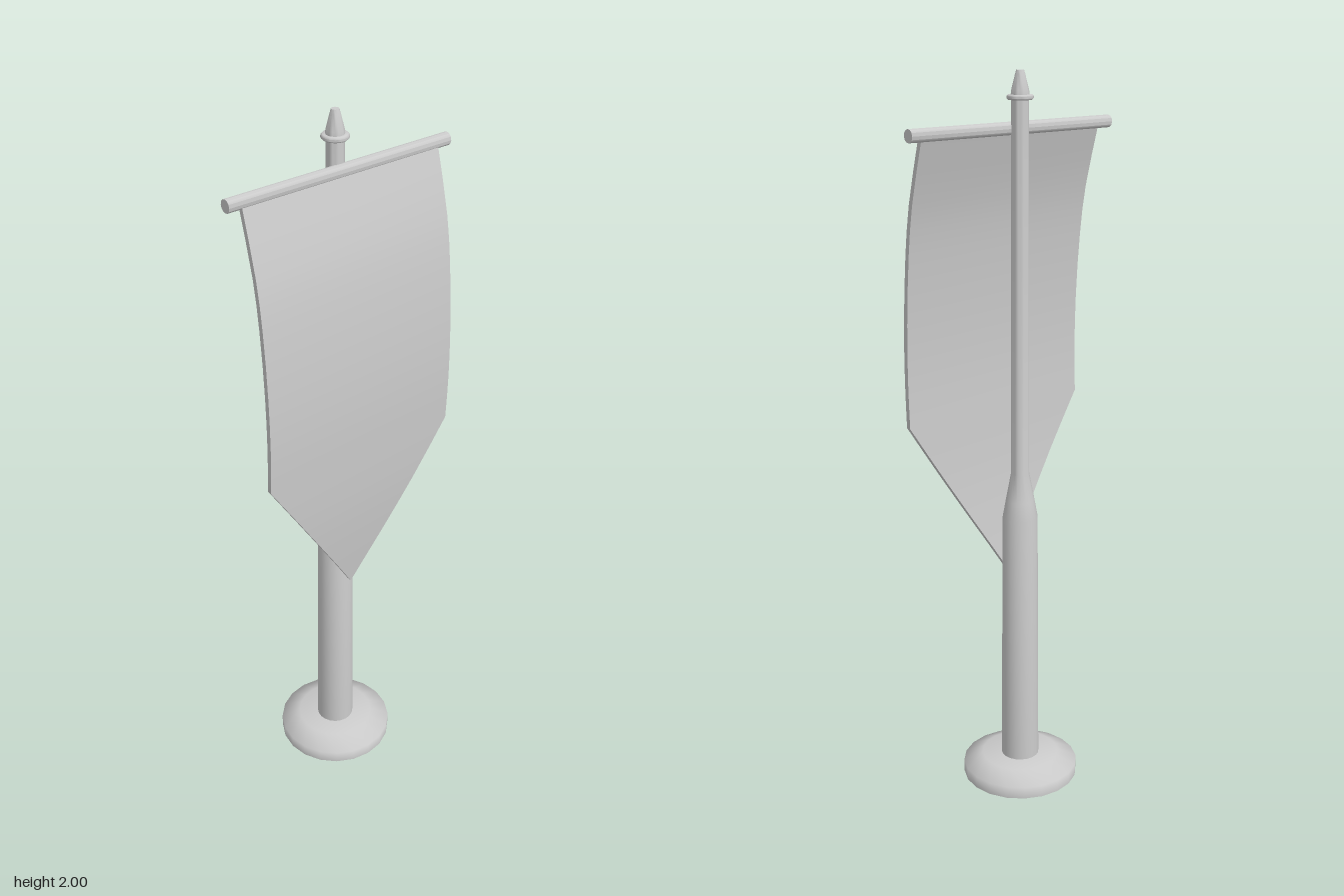
import * as THREE from 'three';
import { toCreasedNormals } from 'three/addons/utils/BufferGeometryUtils.js';

const SIDES = 20;

export function createModel() {
  const group = new THREE.Group();
  group.name = 'bannerStand';
  const material = new THREE.MeshStandardMaterial({ color: 0xcccccc });

  function add(name, geometry, crease = 0.9) {
    const mesh = new THREE.Mesh(toCreasedNormals(geometry, crease), material);
    mesh.name = name;
    group.add(mesh);
    return mesh;
  }

  // Turned part from [radius, height] pairs, bottom to top
  const turned = (profile) =>
    new THREE.LatheGeometry(profile.map(([r, y]) => new THREE.Vector2(r, y)), SIDES);

  // Round foot with a bevelled rim
  add('base', turned([[0, 0], [0.165, 0], [0.165, 0.035], [0.11, 0.06], [0, 0.06]]), 1.2);

  // Thick lower pole tapering into the slim upper pole
  add('pole', turned([
    [0.054, 0.05], [0.049, 0.8], [0.04, 0.85], [0.025, 0.93], [0.023, 1.935],
  ]));

  // Collar ring and pointed cap
  add('collar', turned([
    [0.018, 1.927], [0.031, 1.927], [0.035, 1.931], [0.035, 1.936], [0.031, 1.94], [0.018, 1.94],
  ]));
  add('finial', turned([[0.024, 1.938], [0.023, 1.95], [0.013, 1.99], [0.01, 2], [0, 2]]), 0.7);

  // Horizontal bar carrying the cloth
  const bar = new THREE.CylinderGeometry(0.017, 0.017, 0.666, 12);
  bar.rotateZ(Math.PI / 2);
  add('crossbar', bar).position.set(0, 1.855, 0.025);

  // Cloth: billows forward, straight sides, then narrows to a point
  const top = 1.855, corner = 1.09, tip = 0.63;
  const halfWidth = 0.295;
  const billow = new THREE.CatmullRomCurve3(
    [[top, 0.027], [1.68, 0.075], [1.55, 0.095], [1.37, 0.109], [1.22, 0.112],
      [corner, 0.108], [0.93, 0.1], [0.78, 0.085], [tip, 0.066]]
      .map(([y, z]) => new THREE.Vector3(0, y, z)),
  );
  const rows = 16;
  const cloth = new THREE.BoxGeometry(2, 1, 0.014, 1, rows, 1);
  const pos = cloth.attributes.position;
  for (let i = 0; i < pos.count; i++) {
    const p = billow.getPoint(0.5 - pos.getY(i));
    const width = halfWidth * THREE.MathUtils.clamp((p.y - tip) / (corner - tip), 0.004, 1);
    pos.setXYZ(i, pos.getX(i) * width, p.y, p.z + pos.getZ(i));
  }
  add('banner', cloth, 0.6);

  return group;
}
